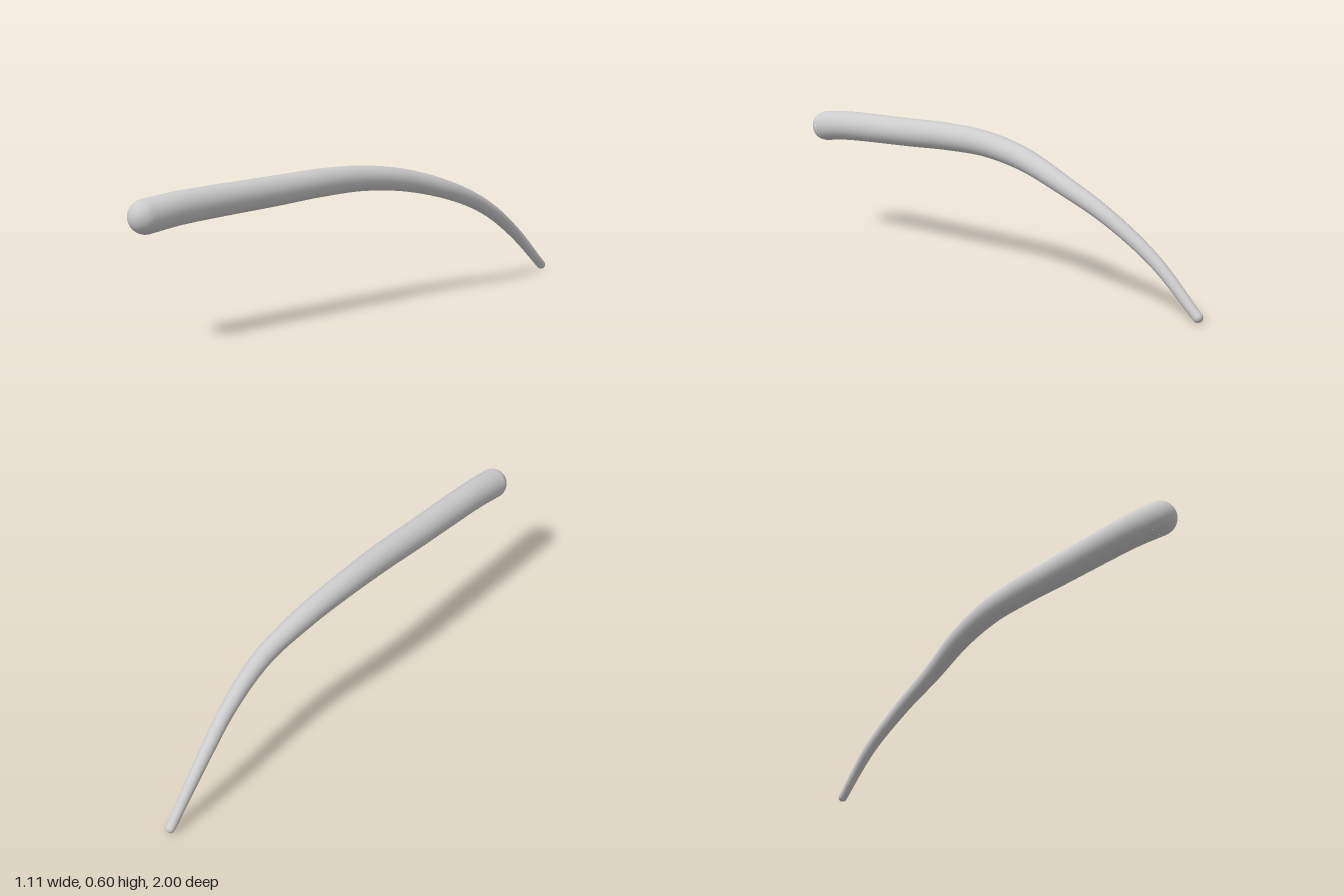
import * as THREE from 'three';

// Centreline points with the radius at each: x, y, z, r
const SPINE = [
  [-0.49, 0.503, 0.933, 0.067],
  [-0.418, 0.519, 0.8, 0.065],
  [-0.2, 0.537, 0.4, 0.061],
  [-0.09, 0.546, 0.2, 0.058],
  [0.022, 0.542, 0, 0.053],
  [0.15, 0.509, -0.2, 0.047],
  [0.283, 0.439, -0.4, 0.039],
  [0.375, 0.342, -0.6, 0.032],
  [0.452, 0.201, -0.8, 0.026],
  [0.535, 0.021, -0.98, 0.02],
];
const RINGS = 96;
const SIDES = 32;

export function createModel() {
  const group = new THREE.Group();
  const material = new THREE.MeshStandardMaterial({ color: 0xcccccc });
  const curve = new THREE.CatmullRomCurve3(SPINE.map(([x, y, z]) => new THREE.Vector3(x, y, z)));
  const radii = new THREE.SplineCurve(SPINE.map((p, i) => new THREE.Vector2(i, p[3])));

  // Tapered shaft: a unit-radius tube with each ring scaled about the centreline
  const shaftGeometry = new THREE.TubeGeometry(curve, RINGS, 1, SIDES);
  const position = shaftGeometry.attributes.position;
  const vertex = new THREE.Vector3();
  for (let ring = 0; ring <= RINGS; ring++) {
    const u = ring / RINGS;
    const centre = curve.getPointAt(u);
    const radius = radii.getPoint(curve.getUtoTmapping(u)).y;
    for (let side = 0; side <= SIDES; side++) {
      const i = ring * (SIDES + 1) + side;
      vertex.fromBufferAttribute(position, i).sub(centre).multiplyScalar(radius).add(centre);
      position.setXYZ(i, vertex.x, vertex.y, vertex.z);
    }
  }
  const shaft = new THREE.Mesh(shaftGeometry, material);
  shaft.name = 'taperedShaft';
  group.add(shaft);

  // Rounded ends: hemispheres facing out along the centreline
  const addCap = (name, u, direction, radius) => {
    const geometry = new THREE.SphereGeometry(radius, SIDES, 12, 0, Math.PI * 2, 0, Math.PI / 2);
    const cap = new THREE.Mesh(geometry, material);
    cap.name = name;
    cap.position.copy(curve.getPointAt(u));
    const outward = curve.getTangentAt(u).multiplyScalar(direction);
    cap.quaternion.setFromUnitVectors(new THREE.Vector3(0, 1, 0), outward);
    group.add(cap);
  };
  addCap('thickEnd', 0, -1, SPINE[0][3]);
  addCap('thinTip', 1, 1, SPINE[SPINE.length - 1][3]);

  return group;
}
